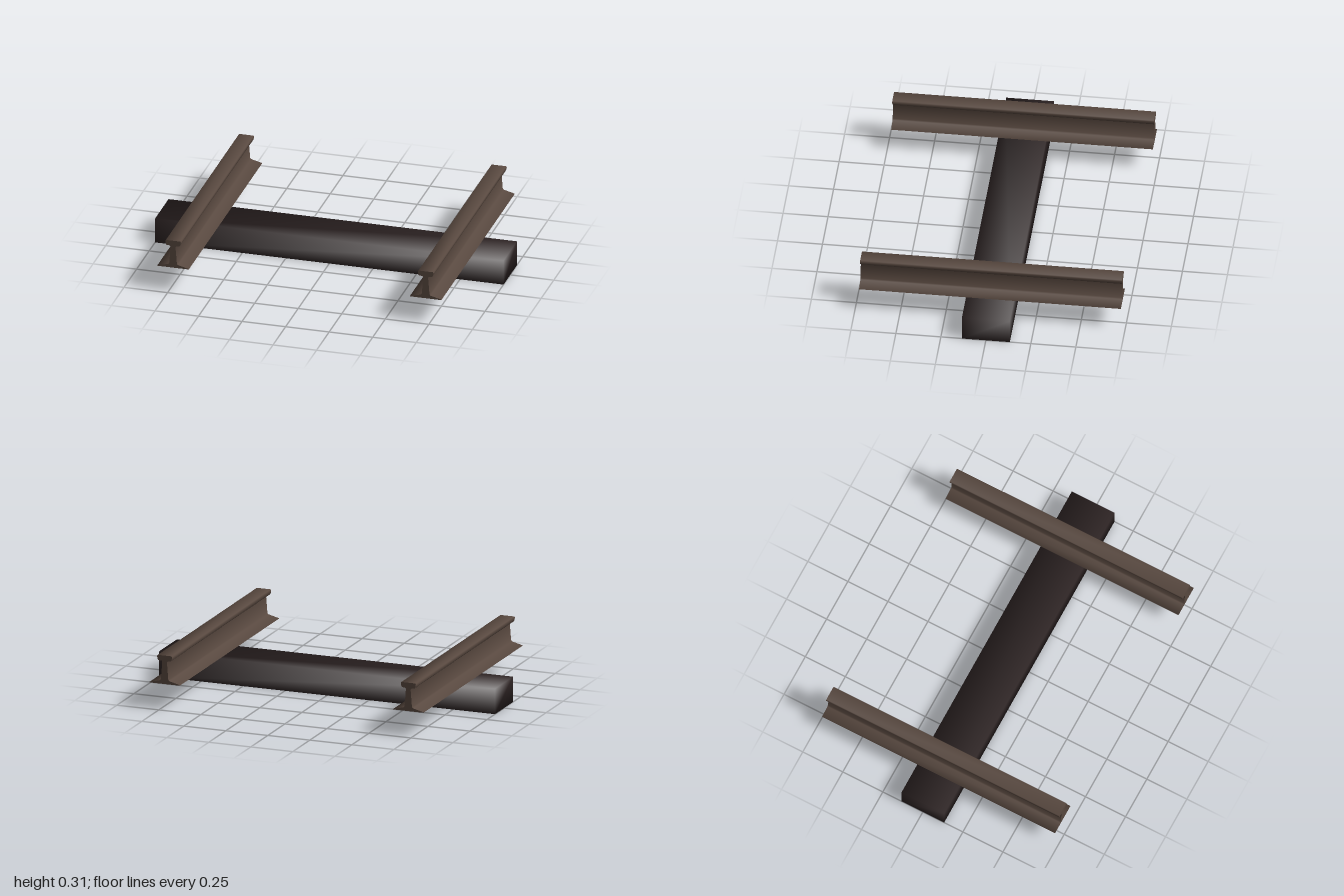
import * as THREE from 'three';
import { toCreasedNormals } from 'three/addons/utils/BufferGeometryUtils.js';

const railSteel = new THREE.MeshStandardMaterial({ color: 0x58483f });
railSteel.name = 'rusty steel';
const darkTimber = new THREE.MeshStandardMaterial({ color: 0x2f2525 });
darkTimber.name = 'dark timber';

const BED = 0.145; // top of the sleeper, underside of the rails

// Half of the rail section, from foot tip up to the crown: [x, height above bed]
const HALF_SECTION = [
  [0.09, 0], [0.09, 0.003], [0.028, 0.019], [0.022, 0.026], [0.014, 0.125],
  [0.017, 0.132], [0.037, 0.134], [0.041, 0.139], [0.045, 0.157], [0.041, 0.163],
];

// Rail section swept along z, smooth along its sides with sharp end faces
function railGeometry(length) {
  const right = HALF_SECTION.map(([x, y]) => new THREE.Vector2(x, y));
  const left = HALF_SECTION.map(([x, y]) => new THREE.Vector2(-x, y)).reverse();
  const shape = new THREE.Shape([...right, ...left]);
  const geometry = new THREE.ExtrudeGeometry(shape, { depth: length, bevelEnabled: false });
  geometry.translate(0, 0, -length / 2);
  return toCreasedNormals(geometry, THREE.MathUtils.degToRad(85));
}

// Box whose corner normals point diagonally outward, for soft worn shading
function softBox(w, h, d) {
  const geometry = new THREE.BoxGeometry(w, h, d);
  const p = geometry.attributes.position;
  const n = new THREE.Vector3();
  for (let i = 0; i < p.count; i++) {
    n.set(Math.sign(p.getX(i)), Math.sign(p.getY(i)), Math.sign(p.getZ(i))).normalize();
    geometry.attributes.normal.setXYZ(i, n.x, n.y, n.z);
  }
  return geometry;
}

export function createModel() {
  const model = new THREE.Group();
  model.name = 'railTrackSection';

  // Cross sleeper
  const sleeper = new THREE.Mesh(softBox(2, BED, 0.266), darkTimber);
  sleeper.name = 'sleeper';
  sleeper.position.y = BED / 2;
  model.add(sleeper);

  // Pair of rails
  const geometry = railGeometry(1.454);
  for (const side of [-1, 1]) {
    const rail = new THREE.Mesh(geometry, railSteel);
    rail.name = side > 0 ? 'leftRail' : 'rightRail';
    rail.position.set(side * 0.725, BED, 0);
    model.add(rail);
  }
  return model;
}
